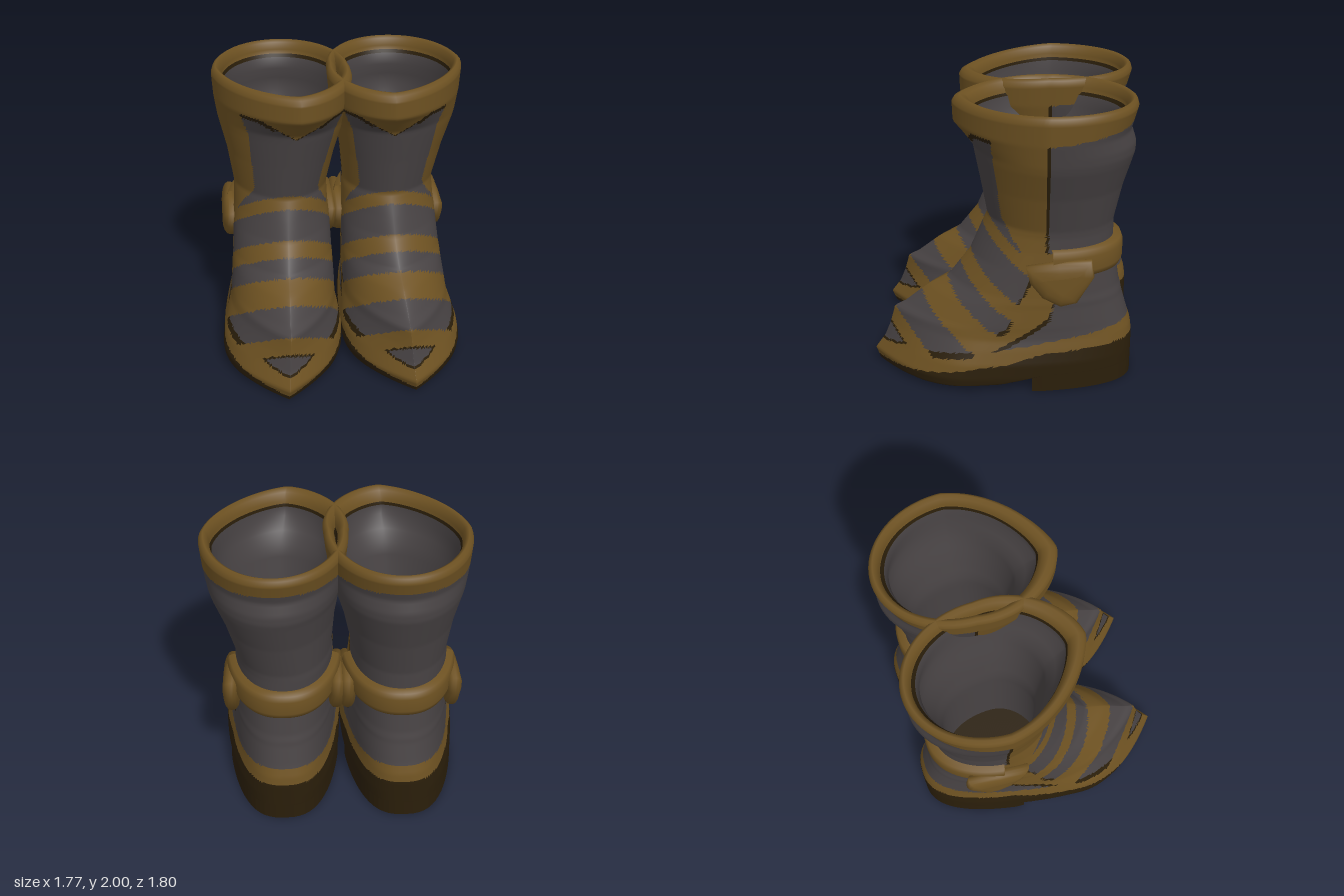
import * as THREE from 'three';
import { mergeVertices } from 'three/addons/utils/BufferGeometryUtils.js';

const mat = (name, color) => {
  const m = new THREE.MeshStandardMaterial({ color });
  m.name = name;
  return m;
};

// Piecewise linear lookup; rows are sorted by their first entry
function lookup(rows, t) {
  if (t <= rows[0][0]) return rows[0].slice(1);
  for (let i = 1; i < rows.length; i++) {
    if (t <= rows[i][0]) {
      const a = rows[i - 1], b = rows[i], f = (t - a[0]) / (b[0] - a[0]);
      return a.slice(1).map((v, j) => v + (b[j + 1] - v) * f);
    }
  }
  return rows[rows.length - 1].slice(1);
}

// Boot sections: height, half width, back z, front z, z of widest point, toe sharpness, heel roundness
const SECTIONS = [
  [0.02, 0.41, -0.89, 0.87, 0.22, 2.0, 0.75],
  [0.10, 0.425, -0.90, 0.90, 0.22, 2.0, 0.75],
  [0.20, 0.42, -0.90, 0.83, 0.17, 1.95, 0.75],
  [0.30, 0.395, -0.90, 0.79, 0.10, 1.9, 0.75],
  [0.37, 0.375, -0.89, 0.77, 0.05, 1.85, 0.75],
  [0.43, 0.37, -0.87, 0.755, 0.01, 1.8, 0.77],
  [0.46, 0.37, -0.86, 0.69, -0.01, 1.75, 0.78],
  [0.60, 0.36, -0.82, 0.515, -0.08, 1.65, 0.8],
  [0.63, 0.36, -0.815, 0.46, -0.10, 1.6, 0.8],
  [0.68, 0.355, -0.80, 0.37, -0.12, 1.5, 0.82],
  [0.87, 0.345, -0.77, 0.225, -0.19, 1.4, 0.86],
  [1.00, 0.335, -0.75, 0.17, -0.25, 1.3, 0.9],
  [1.15, 0.33, -0.75, 0.105, -0.30, 1.15, 0.92],
  [1.40, 0.375, -0.80, 0.15, -0.30, 1.1, 1],
  [1.65, 0.44, -0.87, 0.20, -0.30, 1.15, 1],
  [1.71, 0.45, -0.87, 0.25, -0.30, 1.2, 1],
  [1.80, 0.465, -0.84, 0.33, -0.30, 1.3, 1],
  [1.95, 0.478, -0.88, 0.335, -0.30, 1.35, 1],
];
const UNDERSIDE = [[-0.3, 0.12], [-0.2, 0.1], [0, 0.06], [0.87, 0.02]];
const SOLE_LINE = [[-0.9, 0.31], [-0.3, 0.28], [-0.05, 0.21], [0.1, 0.19], [0.87, 0.05]];
const STRIPE_END = [[-0.2, 0.78], [-0.15, 0.67], [-0.05, 0.43], [0.2, 0.25], [0.62, 0.19], [0.9, 0.18]];
const PANEL_EDGE = [[1, -0.13], [1.2, 0], [1.75, 0.06]];
const HEEL_TOP = [[-0.42, 0.95], [-0.36, 0.65], [-0.33, 0.54], [-0.2, 0.44], [0.05, 0.3]];
const STRIPES = [[0.72, 0.98], [0.39, 0.57], [-0.13, 0.14]];
// How far the front of a boot turns towards its neighbour, by height
const TURN_IN = [[0, -0.02], [0.5, 0], [1, 0.03], [1.6, 0.09]];
const BROWN = 0, GREY = 1, DARK = 2;
const N = 160;

// Point of a section at angle a, drawn inward by inset (thicker at the front)
function sectionPoint(level, a, inset, y) {
  const [w, zb, zf, z0, kf, kb] = lookup(SECTIONS, level);
  const c = Math.cos(a), s = Math.sin(a), front = s > 0;
  const x = Math.sign(c) * Math.pow(Math.abs(c), front ? kf : kb) * (w - inset);
  const z = z0 + s * (front ? zf - 1.8 * inset - z0 : z0 - zb - inset);
  return [x, y, z];
}

// Leather colour of an outer point
function outerColour(x, y, z) {
  if (y < lookup(SOLE_LINE, z)[0]) return DARK;
  const s = y - 0.75 * z, ax = Math.abs(x);
  const patch = (inside, edge, rim) => (inside < 0 || edge < 0 ? -1 : edge < rim ? DARK : GREY);
  const cuff = 1.79 - 0.16 * Math.max(0, 1 - ax / 0.25);
  const end = y - lookup(STRIPE_END, z)[0];
  const found = [
    // Front shaft panel, shadowed only at its upper corners
    patch(Math.min(s - 1.09, z - lookup(PANEL_EDGE, y)[0]), cuff - y, ax > 0.15 ? 0.035 : 0.008),
    // Back shaft panel
    patch(Math.min(y - 1, 1.8 + 0.1 * (-0.3 - z) - y), -0.3 - z, 0.02),
    // Heel panel
    patch(Math.min(0.05 - z, 0.95 - y, y - 0.3 - 0.15 * (0.05 - z)), lookup(HEEL_TOP, z)[0] - y, 0.03),
    // Instep plates
    ...STRIPES.map(([lo, hi]) => patch(Math.min(s - lo, hi - s), end, 0.04)),
    // Lens-shaped toe patch
    patch(z - 0.5, Math.min(y - 0.175 - 1.5 * x * x, -0.27 - s, 0.22 - ax), 0.016),
  ];
  return Math.max(BROWN, ...found.map(c => (c === DARK && found.includes(GREY) ? GREY : c)));
}

// Skin over rings [section level, height, inset], with a colour rule per triangle
function loft(rings, from, to, closed, colourAt, underside) {
  const pos = [], groups = [[], [], []];
  const cols = closed ? N : N + 1;
  for (const [level, y, inset] of rings) {
    for (let i = 0; i < cols; i++) {
      const p = sectionPoint(level, from + (to - from) * i / N, inset, y);
      if (underside) p[1] = Math.max(p[1], lookup(UNDERSIDE, p[2])[0]);
      pos.push(...p);
    }
  }
  const tri = (j, ...v) => {
    const m = [0, 1, 2].map(k => v.reduce((t, n) => t + pos[n * 3 + k], 0) / 3);
    groups[colourAt(j, ...m)].push(...v);
  };
  for (let j = 0; j < rings.length - 1; j++) {
    for (let i = 0; i < N; i++) {
      const n = (i + 1) % cols;
      const a = j * cols + i, b = j * cols + n, c = a + cols, d = b + cols;
      tri(j, a, c, b);
      tri(j, b, c, d);
    }
  }
  const g = new THREE.BufferGeometry();
  g.setAttribute('position', new THREE.Float32BufferAttribute(pos, 3));
  g.setIndex(groups.flat());
  let start = 0;
  groups.forEach((list, k) => { g.addGroup(start, list.length, k); start += list.length; });
  return g;
}

// Flat cap across a section, from its left edge to its right edge
function cap(level, y, inset, up, underside) {
  const pos = [], idx = [];
  for (let i = 0; i <= N / 2; i++) {
    const [x, , z] = sectionPoint(level, -Math.PI / 2 + Math.PI * i / (N / 2), inset, y);
    const h = underside ? Math.max(y, lookup(UNDERSIDE, z)[0]) : y;
    pos.push(x, h, z, -x, h, z);
    if (i < N / 2) {
      const p = i * 2, q = p + 1, p2 = p + 2, q2 = p + 3;
      idx.push(...(up ? [p, q, p2, q, q2, p2] : [p, p2, q, q, p2, q2]));
    }
  }
  const g = new THREE.BufferGeometry();
  g.setAttribute('position', new THREE.Float32BufferAttribute(pos, 3));
  g.setIndex(idx);
  return g;
}

// D-shaped block under the back of the boot
function heelGeometry() {
  const pts = [new THREE.Vector2(-0.39, 0.22)];
  for (let i = 0; i <= 40; i++) {
    const [x, , z] = sectionPoint(0.1, Math.PI + Math.PI * i / 40, 0, 0);
    if (z < -0.25) pts.push(new THREE.Vector2(x, -z));
  }
  pts.push(new THREE.Vector2(0.39, 0.22));
  const g = new THREE.ExtrudeGeometry(new THREE.Shape(pts), { depth: 0.125, bevelEnabled: false });
  return g.rotateX(-Math.PI / 2);
}

// Smooth domed shield-shaped buckle
function buckleGeometry() {
  const outline = [[-0.17, 0.92], [-0.38, 0.96], [-0.6, 0.98], [-0.62, 0.86], [-0.51, 0.67], [-0.4, 0.64], [-0.28, 0.7], [-0.2, 0.8]];
  const shape = new THREE.Shape(outline.map(p => new THREE.Vector2(...p)));
  const g = new THREE.ExtrudeGeometry(shape, {
    depth: 0.02, bevelThickness: 0.05, bevelSize: 0.1, bevelOffset: -0.1, bevelSegments: 4,
  });
  g.deleteAttribute('normal');
  g.deleteAttribute('uv');
  return mergeVertices(g, 0.001).translate(0, 0, -0.01).rotateY(-Math.PI / 2);
}

export function createModel() {
  const brown = mat('brown trim', 0x6e5222);
  const grey = mat('grey leather', 0x474243);
  const dark = mat('dark sole', 0x2a1e0a);
  const leather = [brown, grey, dark];

  // Rings run up the outside, over the rim and down the inside
  const rings = [];
  const OUTER = 125;
  for (let j = 0; j <= OUTER; j++) {
    const y = 0.02 + 1.93 * j / OUTER;
    rings.push([y, y, 0]);
  }
  rings.push([1.95, 1.982, 0.01], [1.95, 1.997, 0.03], [1.95, 1.98, 0.055], [1.95, 1.93, 0.07], [1.95, 1.9, 0.07]);
  for (let y = 1.88; y > 0.4; y -= 0.08) rings.push([Math.max(y, 1.12), y, 0.075]);
  const innerColour = y => (y > 1.91 ? BROWN : y > 1.88 ? DARK : GREY);
  const colourAt = (j, x, y, z) => (j < OUTER ? outerColour(x, y, z) : innerColour(y));

  const strapRings = [[0.93, 0.83, 0.01], [0.93, 0.84, -0.04], [0.93, 0.88, -0.055],
    [0.93, 0.98, -0.055], [0.93, 1.02, -0.04], [0.93, 1.03, 0.01]];
  const parts = [
    ['bootBody', loft(rings, 0, Math.PI * 2, true, colourAt, true), leather],
    ['soleUnderside', cap(0.02, 0.02, 0, false, true), dark],
    ['insole', cap(1.12, 0.46, 0.07, true, false), dark],
    ['heel', heelGeometry(), dark],
    ['ankleStrap', loft(strapRings, Math.PI + 0.22, Math.PI * 2 - 0.22, false, () => BROWN, false), leather],
    ['outerBuckle', buckleGeometry().translate(0.36, 0, 0), brown],
    ['innerBuckle', buckleGeometry().translate(-0.36, 0, 0), brown],
  ];

  // Each boot follows its own centre line, turns in at the front and dips at the front of the cuff
  const makeBoot = (name, side, centreLine) => {
    const boot = new THREE.Group();
    boot.name = name;
    for (const [part, source, material] of parts) {
      const geometry = source.clone();
      const p = geometry.attributes.position;
      for (let i = 0; i < p.count; i++) {
        const y = p.getY(i), z = p.getZ(i);
        const forward = THREE.MathUtils.clamp((z + 0.3) / 0.6, 0, 1);
        p.setX(i, p.getX(i) + lookup(centreLine, y)[0] - side * forward * lookup(TURN_IN, y)[0]);
        p.setY(i, y - 0.03 * forward * THREE.MathUtils.clamp((y - 1.75) / 0.2, 0, 1));
      }
      geometry.computeVertexNormals();
      const mesh = new THREE.Mesh(geometry, material);
      mesh.name = part;
      boot.add(mesh);
    }
    return boot;
  };

  const model = new THREE.Group();
  model.name = 'pairOfBoots';
  model.add(
    makeBoot('leftBoot', 1, [[0, 0.38], [0.5, 0.37], [1.1, 0.357], [1.6, 0.405], [2, 0.4]]),
    makeBoot('rightBoot', -1, [[0, -0.455], [0.5, -0.435], [1.1, -0.425], [1.6, -0.41], [2, -0.398]]),
  );
  return model;
}
